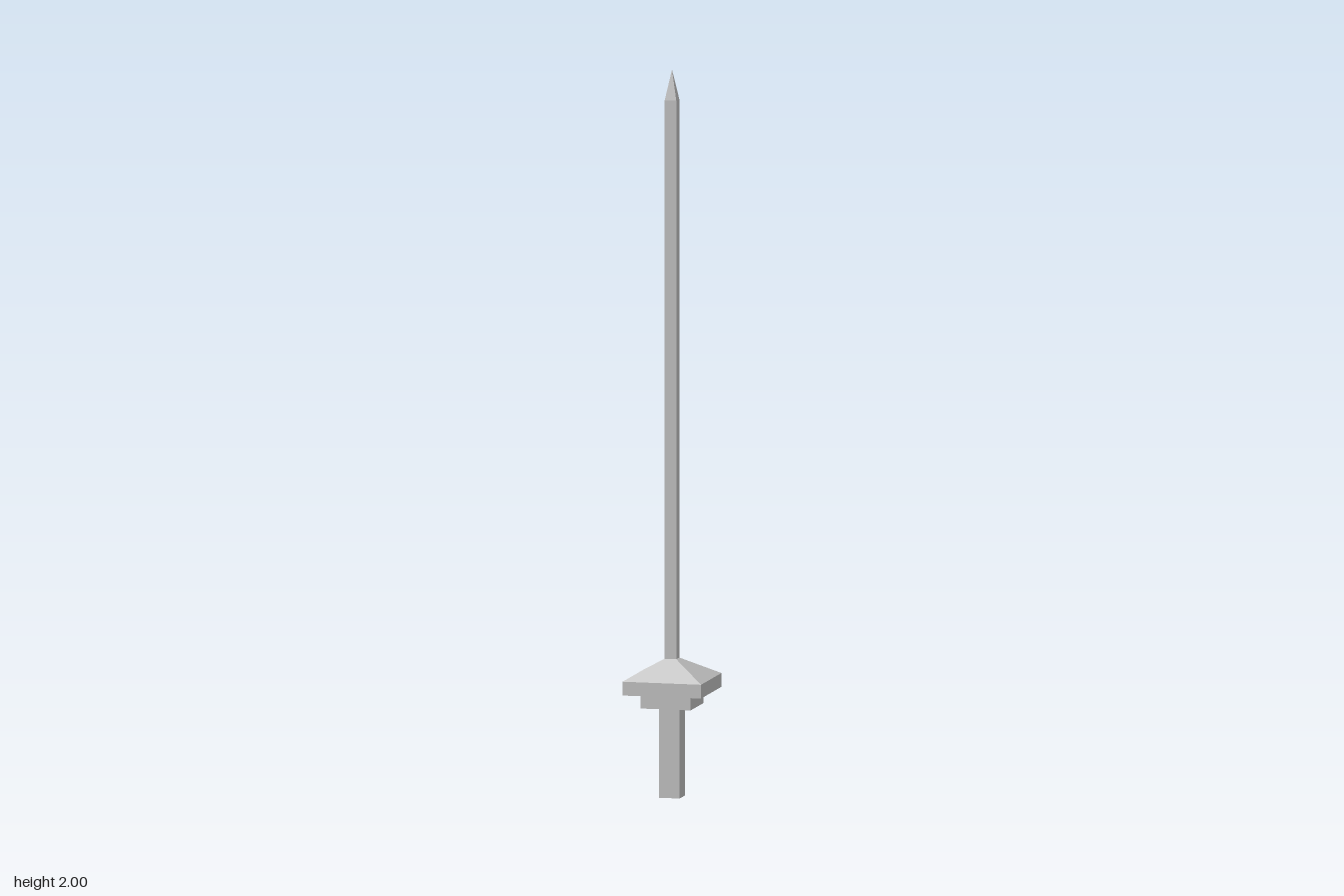
import * as THREE from 'three';

const material = new THREE.MeshStandardMaterial({ color: 0xcccccc, flatShading: true });

// Four-sided prism, taper or pyramid with its corners on the x and z axes
function section(name, bottomRadius, topRadius, y0, y1) {
  const geometry = new THREE.CylinderGeometry(topRadius, bottomRadius, y1 - y0, 4);
  const mesh = new THREE.Mesh(geometry, material);
  mesh.name = name;
  mesh.position.y = (y0 + y1) / 2;
  return mesh;
}

export function createModel() {
  const sword = new THREE.Group();
  sword.name = 'sword';
  sword.add(
    section('grip', 0.041, 0.041, 0, 0.25),
    section('guardCollar', 0.1, 0.1, 0.25, 0.29),
    section('guardPlate', 0.156, 0.156, 0.29, 0.328),
    section('guardSlope', 0.156, 0, 0.328, 0.39),
    section('blade', 0.023, 0.023, 0.33, 1.917),
    section('bladeTip', 0.023, 0, 1.917, 2),
  );
  return sword;
}
